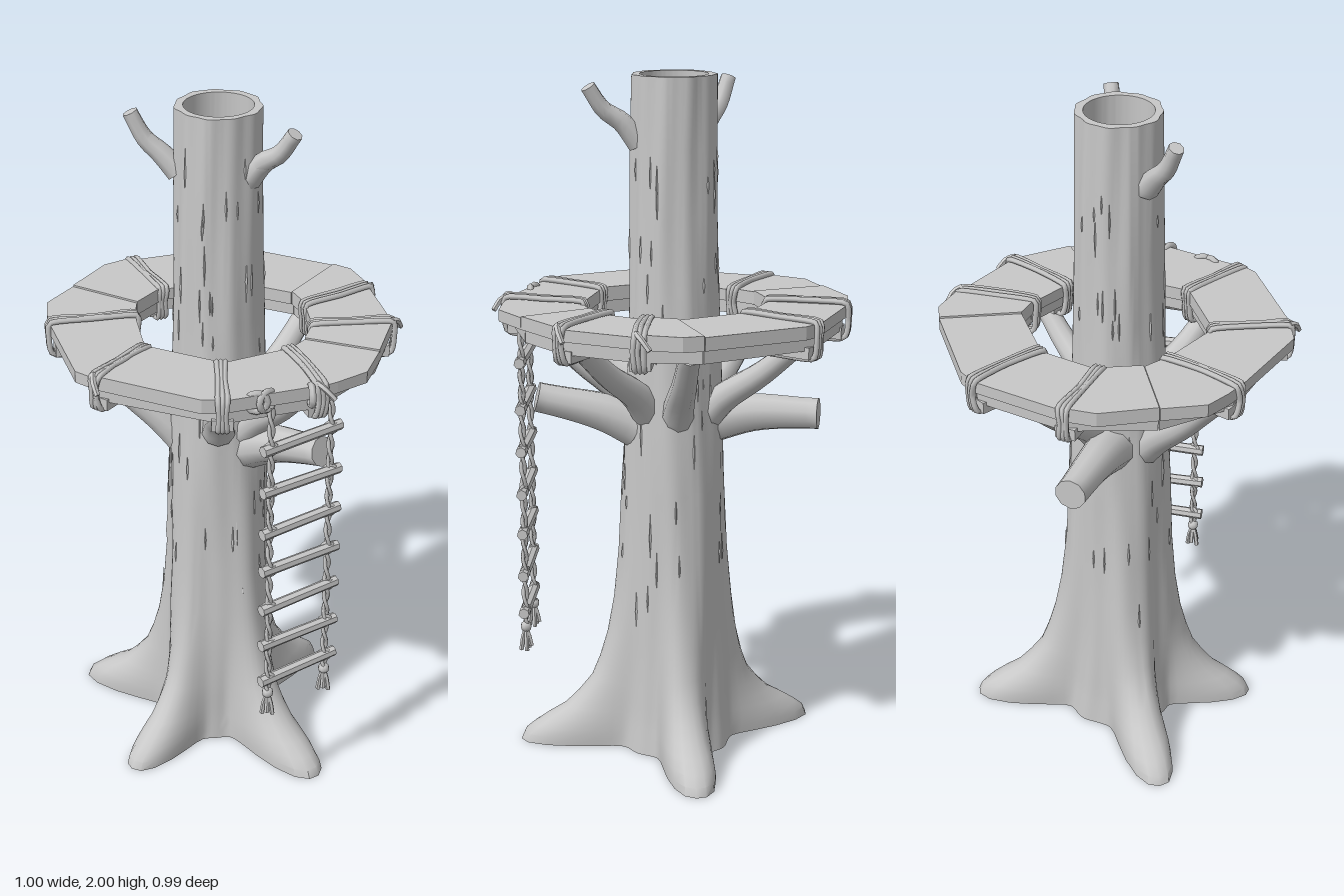
import * as THREE from 'three';
import { toCreasedNormals } from 'three/addons/utils/BufferGeometryUtils.js';

const wood = new THREE.MeshStandardMaterial({ color: 0xc8c8c8 });
wood.name = 'grey wood';
const V = (x, y, z) => new THREE.Vector3(x, y, z);

let seed = 7;
const rand = () => (seed = (seed * 16807) % 2147483647) / 2147483647;

function add(parent, name, geometry) {
  const mesh = new THREE.Mesh(geometry, wood);
  mesh.name = name;
  parent.add(mesh);
  return mesh;
}

// piecewise linear lookup in [[key, value], ...]
function lookup(table, k) {
  for (let i = 1; i < table.length; i++) {
    const [a, va] = table[i - 1], [b, vb] = table[i];
    if (k <= b) return va + (vb - va) * Math.max(0, (k - a) / (b - a));
  }
  return table[table.length - 1][1];
}

// Trunk radius: a core profile plus four root lobes that fade with height
const core = [[0, 0.168], [0.1, 0.158], [0.3, 0.148], [0.6, 0.142], [0.95, 0.143], [1.3, 0.129], [2, 0.119]];
const lobe = [[0, 0.285], [0.03, 0.275], [0.07, 0.225], [0.12, 0.15], [0.2, 0.092], [0.3, 0.057], [0.5, 0.024], [0.9, 0.004], [1.1, 0]];
const roots = [[3.14, 1.02], [1.81, 0.85], [0.44, 1.04], [-1.28, 0.99]];
function trunkRadius(a, y) {
  let r = lookup(core, y);
  const width = 0.26 + Math.min(y, 0.5) * 0.45;
  for (const [angle, size] of roots) {
    const d = Math.abs(Math.atan2(Math.sin(a - angle), Math.cos(a - angle)));
    r += lookup(lobe, y) * size * Math.exp(-((d / width) ** 2.5));
  }
  return r + 0.0025 * Math.sin(11 * a + 2 * Math.sin(3 * y)) + 0.002 * Math.sin(5 * a + 7 * y);
}

// Hollow trunk: rows go up the outside and back down the inside
function trunkGeometry() {
  const N = 90, pos = [], index = [];
  const levels = [0, 0.025, 0.05, 0.08, 0.11, 0.15, 0.2, 0.26, 0.34, 0.45, 0.6, 0.8, 1, 1.2, 1.4, 1.6, 1.8, 2];
  const inner = [[0, 0.13], [0.5, 0.112], [1.3, 0.104], [2, 0.097]];
  const rows = levels.map(y => [y, a => trunkRadius(a, y)]);
  for (const [y, r] of [...inner].reverse()) rows.push([y, () => r]);
  for (const [y, radius] of rows)
    for (let j = 0; j < N; j++) {
      const a = (j / N) * Math.PI * 2, r = radius(a);
      pos.push(r * Math.cos(a), y, r * Math.sin(a) - 0.009);
    }
  for (let i = 0; i < rows.length; i++)
    for (let j = 0; j < N; j++) {
      const k = ((i + 1) % rows.length) * N, j2 = (j + 1) % N;
      index.push(i * N + j, k + j, i * N + j2, i * N + j2, k + j, k + j2);
    }
  const g = new THREE.BufferGeometry();
  g.setAttribute('position', new THREE.Float32BufferAttribute(pos, 3));
  g.setIndex(index);
  return toCreasedNormals(g, 0.7);
}

// Tapered limb with flat ends
function limb(points, r0, r1, sides = 10, n = 12) {
  const curve = new THREE.CatmullRomCurve3(points);
  const g = new THREE.TubeGeometry(curve, n, 1, sides);
  const p = g.attributes.position, v = V(0, 0, 0);
  for (let i = 0; i <= n; i++) {
    const t = Math.min(n - 2, Math.max(0, i - 1)) / (n - 2);
    const from = curve.getPointAt(i / n), to = curve.getPointAt(t);
    const r = i === 0 || i === n ? 0 : r1 + (r0 - r1) * (1 - t) ** 1.6;
    for (let j = 0; j <= sides; j++) {
      const k = i * (sides + 1) + j;
      v.fromBufferAttribute(p, k).sub(from).multiplyScalar(r).add(to);
      p.setXYZ(k, v.x, v.y, v.z);
    }
  }
  return toCreasedNormals(g, 0.8);
}

// Flat plank from [x, z] corners
function plank(corners, y, thickness) {
  const cx = corners.reduce((s, c) => s + c[0], 0) / corners.length;
  const cz = corners.reduce((s, c) => s + c[1], 0) / corners.length;
  const shape = new THREE.Shape(corners.map(([x, z]) =>
    new THREE.Vector2(cx + (x - cx) * 0.988, -(cz + (z - cz) * 0.988))));
  return new THREE.ExtrudeGeometry(shape, { depth: thickness, bevelEnabled: false })
    .rotateX(-Math.PI / 2).translate(0, y, 0);
}

// Seams round the deck: outer point, inner point, rope-bound?, loose rope end?,
// extra outer corners before the next seam
const seams = [
  { o: [0.485, -0.03], i: [0.265, -0.01], extra: [[0.5, 0.1], [0.45, 0.19]] },
  { o: [0.42, 0.235], i: [0.25, 0.07], rope: true, loose: true, extra: [] },
  { o: [0.22, 0.43], i: [0.12, 0.23], rope: true, extra: [[0.17, 0.455]] },
  { o: [-0.15, 0.455], i: [-0.11, 0.23], rope: true, loose: true, extra: [[-0.22, 0.44]] },
  { o: [-0.43, 0.21], i: [-0.23, 0.06], rope: true, extra: [[-0.46, 0.17], [-0.5, 0.1]] },
  { o: [-0.485, -0.03], i: [-0.26, -0.01], extra: [[-0.47, -0.2]] },
  { o: [-0.42, -0.28], i: [-0.24, -0.13], rope: true, extra: [] },
  { o: [-0.21, -0.48], i: [-0.1, -0.26], rope: true, extra: [[-0.16, -0.5]] },
  { o: [0.15, -0.5], i: [0.115, -0.265], extra: [[0.21, -0.49]] },
  { o: [0.3, -0.41], i: [0.18, -0.21], rope: true, loose: true, extra: [] },
  { o: [0.45, -0.22], i: [0.25, -0.1], rope: true, loose: true, extra: [] },
];
const along = (s, t) => [s.i[0] + (s.o[0] - s.i[0]) * t, s.i[1] + (s.o[1] - s.i[1]) * t];

// Rope wraps, loose end and radial beam at one seam
function buildBinding(deck, s) {
  const dx = s.o[0] - s.i[0], dz = s.o[1] - s.i[1], len = Math.hypot(dx, dz);
  const corner = (t, w) => { const [x, z] = along(s, t); return [x - (dz / len) * w, z + (dx / len) * w]; };
  const at = (t, y, w) => { const c = corner(t, w); return V(c[0], y, c[1]); };
  add(deck, 'crossBeam', plank([corner(0.1, -0.03), corner(0.95, -0.03), corner(0.95, 0.03), corner(0.1, 0.03)], 1.255, 0.034));
  for (let w = -1; w <= 1; w++) {
    const skew = w * 0.01 + (rand() - 0.5) * 0.016;
    const loop = new THREE.CatmullRomCurve3([
      at(0, 1.358, w * 0.012), at(0.5, 1.36, skew), at(0.98, 1.358, w * 0.013), at(1.01, 1.31, skew),
      at(0.96, 1.256, w * 0.012), at(0.5, 1.253, skew), at(0.04, 1.256, w * 0.012), at(-0.01, 1.31, skew),
    ], true, 'catmullrom', 0.3);
    add(deck, 'ropeWrap', new THREE.TubeGeometry(loop, 48, 0.0085, 5, true));
  }
  if (s.loose)
    add(deck, 'ropeEnd', limb([at(0.97, 1.36, 0.01), at(1.06, 1.35, -0.005), at(1.12, 1.32, -0.03)], 0.009, 0.008, 5, 6));
}

function buildDeck(parent) {
  const deck = new THREE.Group();
  deck.name = 'deck';
  parent.add(deck);
  seams.forEach((s, k) => {
    const n = seams[(k + 1) % seams.length];
    const lift = (k % 3) * 0.004;
    add(deck, 'deckBoard', plank([s.i, s.o, ...s.extra, n.o, n.i], 1.316, 0.034 + lift));
    // tangential beams beneath each board
    for (const [a, b] of [[0.06, 0.26], [0.68, 0.94]])
      add(deck, 'deckBeam', plank([along(s, a), along(s, b), along(n, b), along(n, a)], 1.278, 0.038));
    if (s.rope) buildBinding(deck, s);
  });
}

// Limbs growing out of the trunk to carry the deck: end x, end z, start height
function buildLimbs(parent) {
  const ends = [
    [0.34, 0.12, 1.08], [0.17, 0.33, 1.1], [-0.38, 0.16, 1.02],
    [-0.25, -0.33, 1.06], [0.13, -0.37, 1.06], [0.36, -0.16, 1.08],
  ];
  for (const [x, z, y] of ends) {
    const e = Math.hypot(x, z), ux = x / e, uz = z / e, mid = 0.1 + e * 0.45;
    add(parent, 'supportLimb', limb([V(ux * 0.108, y - 0.04, uz * 0.108), V(ux * 0.165, y + 0.02, uz * 0.165),
      V(ux * mid, y + (1.27 - y) * 0.5, uz * mid), V(x, 1.275, z)], 0.05, 0.031));
  }
}

function buildLadder(parent) {
  const ladder = new THREE.Group();
  ladder.name = 'ropeLadder';
  parent.add(ladder);
  const rails = [[0.315, 0.325], [0.415, 0.145]];
  const rungs = [0.42, 0.54, 0.665, 0.79, 0.915, 1.045, 1.18];
  for (const [x, z] of rails) {
    // two twisted strands per rail
    for (let s = 0; s < 2; s++) {
      const pts = [];
      for (let i = 0; i <= 60; i++) {
        const a = i * 0.9 + s * Math.PI;
        pts.push(V(x + 0.006 * Math.cos(a), 0.36 + (i / 60) * 0.95, z + 0.006 * Math.sin(a)));
      }
      add(ladder, 'railStrand', new THREE.TubeGeometry(new THREE.CatmullRomCurve3(pts), 120, 0.006, 5));
    }
    add(ladder, 'railKnot', new THREE.SphereGeometry(0.017, 8, 6).translate(x, 0.372, z));
    for (let i = 0; i < 5; i++) {
      const a = i * 1.257;
      add(ladder, 'tassel', limb([V(x, 0.37, z), V(x + 0.01 * Math.cos(a), 0.34, z + 0.01 * Math.sin(a)),
        V(x + 0.016 * Math.cos(a), 0.3 + (i % 2) * 0.012, z + 0.016 * Math.sin(a))], 0.006, 0.007, 5, 6));
    }
    for (const y of rungs)
      add(ladder, 'rungLashing', new THREE.TorusGeometry(0.017, 0.006, 5, 10).rotateY(Math.PI / 6).translate(x, y, z));
  }
  rungs.forEach((y, k) => {
    const tilt = (k % 2 ? 1 : -1) * 0.002;
    add(ladder, 'rung', limb([V(0.302, y + tilt, 0.349), V(0.367, y, 0.233), V(0.433, y - tilt, 0.117)], 0.017, 0.016, 7, 6));
  });
  // knots tying the ladder to the deck edge
  for (const [x, z, a] of [[0.285, 0.355, 0.5], [0.305, 0.335, 1.2], [0.4, 0.255, 2.1]])
    add(ladder, 'deckKnot', new THREE.TorusGeometry(0.028, 0.01, 5, 12).rotateY(a).translate(x, 1.33, z));
}

export function createModel() {
  const model = new THREE.Group();
  model.name = 'treeLookout';
  add(model, 'trunk', trunkGeometry());

  // thin bark ridges
  for (let i = 0; i < 80; i++) {
    const a = rand() * Math.PI * 2, y = 0.4 + rand() * 1.45, r = trunkRadius(a, y) - 0.001;
    const ridge = add(model, 'barkRidge', new THREE.OctahedronGeometry(1).scale(0.005, 0.03 + rand() * 0.05, 0.004));
    ridge.position.set(r * Math.cos(a), y, r * Math.sin(a) - 0.009);
    ridge.rotation.y = -a;
  }

  // sawn-off boughs and top twigs
  add(model, 'bough', limb([V(-0.1, 1.0, -0.06), V(-0.2, 1.025, -0.13), V(-0.35, 1.03, -0.245)], 0.07, 0.046));
  add(model, 'bough', limb([V(0.11, 0.99, 0.02), V(0.2, 1.03, 0.05), V(0.38, 1.08, 0.115)], 0.07, 0.044));
  add(model, 'twig', limb([V(-0.1, 1.81, 0.04), V(-0.145, 1.86, 0.055), V(-0.185, 1.9, 0.07), V(-0.222, 1.975, 0.085)], 0.036, 0.022, 8));
  add(model, 'twig', limb([V(0.1, 1.81, 0.01), V(0.15, 1.87, 0.02), V(0.2, 1.905, 0.03), V(0.245, 1.97, 0.035)], 0.036, 0.022, 8));

  buildLimbs(model);
  buildDeck(model);
  buildLadder(model);
  return model;
}
